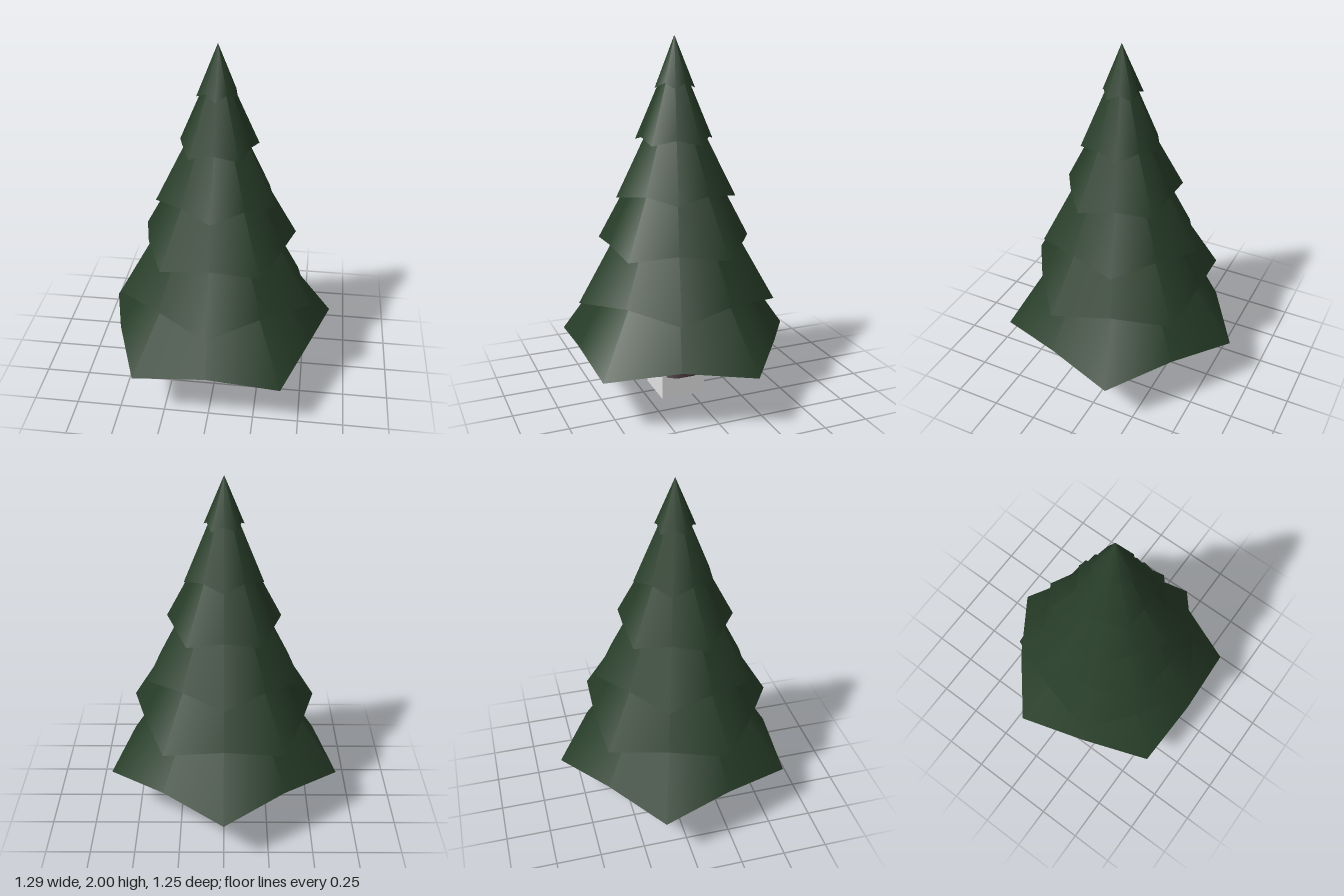
import * as THREE from 'three';

const AXIS_Z = 0.053;

// One five-pointed skirt of branches: a ten-corner rim with low tips and raised notches,
// joined to an apex above and closed by a shallow hollow underneath.
function branchLayer({ tipR, tipY, notchR, notchY, apexY, hollowY, turn }, material) {
  const n = 10, pos = [], index = [];
  const rim = (i) => {
    const tip = i % 2 === 0;
    const a = turn + (i * Math.PI * 2) / n, r = tip ? tipR : notchR;
    return [Math.sin(a) * r, tip ? tipY : notchY, Math.cos(a) * r];
  };
  // Rings: outer rim, apex, underside rim, underside centre (separate so the rim stays sharp)
  for (let i = 0; i < n; i++) pos.push(...rim(i));
  for (let i = 0; i < n; i++) pos.push(0, apexY, 0);
  for (let i = 0; i < n; i++) pos.push(...rim(i));
  for (let i = 0; i < n; i++) pos.push(0, hollowY, 0);
  for (let i = 0; i < n; i++) {
    const j = (i + 1) % n;
    index.push(i, j, n + i, i, j, n + j);
    index.push(2 * n + j, 2 * n + i, 3 * n + i);
  }
  // Keep one triangle per side on the slope, plus its twin for even apex normals
  const geo = new THREE.BufferGeometry();
  geo.setAttribute('position', new THREE.Float32BufferAttribute(pos, 3));
  geo.setIndex(index);
  geo.computeVertexNormals();
  const slope = [];
  for (let i = 0; i < n; i++) {
    const j = (i + 1) % n;
    slope.push(i, j, n + i, 2 * n + j, 2 * n + i, 3 * n + i);
  }
  geo.setIndex(slope);
  return new THREE.Mesh(geo, material);
}

export function createModel() {
  const green = new THREE.MeshStandardMaterial({ color: 0x283e29 });
  green.name = 'pine green';
  const brown = new THREE.MeshStandardMaterial({ color: 0x352627 });
  brown.name = 'bark brown';
  const white = new THREE.MeshStandardMaterial({ color: 0xe4e4e4 });
  white.name = 'stand white';

  const tree = new THREE.Group();
  tree.name = 'tree';
  tree.position.z = AXIS_Z;

  // Branch layers, bottom to top: tip radius, tip y, notch radius, notch y, apex y
  const layers = [
    [0.68, 0.30, 0.57, 0.35, 1.26],
    [0.557, 0.595, 0.47, 0.63, 1.53],
    [0.446, 0.875, 0.385, 0.91, 1.69],
    [0.336, 1.16, 0.285, 1.19, 1.81],
    [0.222, 1.445, 0.19, 1.475, 1.95],
    [0.112, 1.73, 0.094, 1.76, 2.0],
  ];
  layers.forEach(([tipR, tipY, notchR, notchY, apexY], k) => {
    const layer = branchLayer({
      tipR, tipY, notchR, notchY, apexY,
      hollowY: tipY + 0.06 + 0.13 * tipR,
      turn: k % 2 ? 0 : Math.PI, // alternate layers point forwards and backwards
    }, green);
    layer.name = `branchLayer${k + 1}`;
    tree.add(layer);
  });

  // Flared ten-sided trunk
  const profile = [[0.173, 0.13], [0.127, 0.23], [0.115, 0.265], [0.097, 0.34], [0.07, 0.46]]
    .map(([r, y]) => new THREE.Vector2(r, y));
  const trunk = new THREE.Mesh(new THREE.LatheGeometry(profile, 10), brown);
  trunk.name = 'trunk';
  tree.add(trunk);

  const trunkBase = new THREE.Mesh(new THREE.CircleGeometry(0.173, 10, Math.PI / 2), brown);
  trunkBase.name = 'trunkBase';
  trunkBase.rotation.x = Math.PI / 2;
  trunkBase.position.y = 0.13;
  tree.add(trunkBase);

  // Square stand
  const stand = new THREE.Mesh(new THREE.BoxGeometry(0.254, 0.26, 0.254), white);
  stand.name = 'stand';
  stand.position.y = 0.13;
  tree.add(stand);

  const model = new THREE.Group();
  model.name = 'pineTree';
  model.add(tree);
  return model;
}
